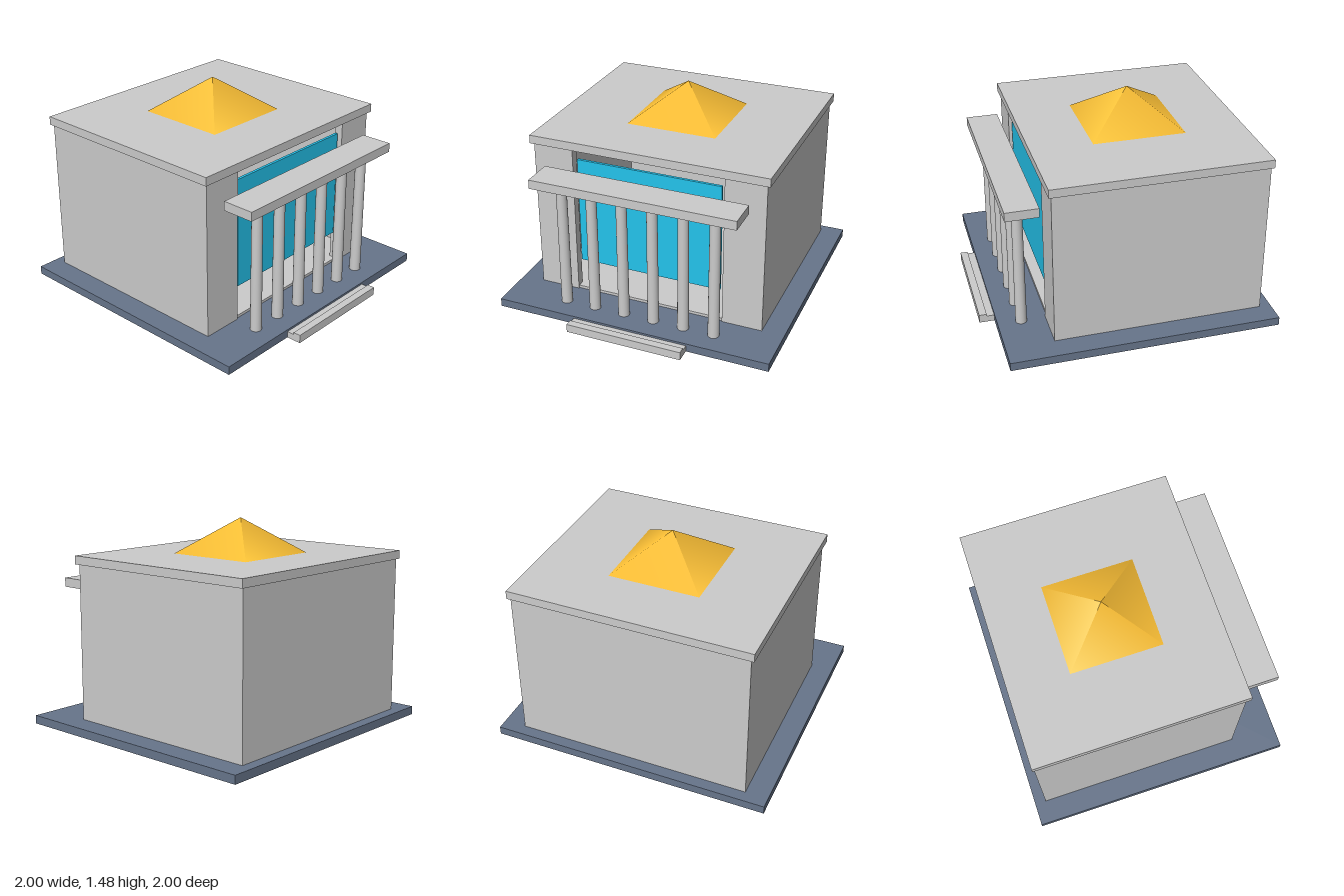
import * as THREE from 'three';

const material = (color) => new THREE.MeshStandardMaterial({ color });

export function createModel() {
  const model = new THREE.Group();
  model.name = 'columnedHall';

  const stone = material(0xcccccc);
  const slate = material(0x67758b);
  const white = material(0xfafafa);
  const glass = material(0x24c3ec);
  const gold = material(0xfbbf35);

  // Box given by its extents along each axis
  function box(name, mat, [x0, x1], [y0, y1], [z0, z1], parent = model) {
    const mesh = new THREE.Mesh(new THREE.BoxGeometry(x1 - x0, y1 - y0, z1 - z0), mat);
    mesh.position.set((x0 + x1) / 2, (y0 + y1) / 2, (z0 + z1) / 2);
    mesh.name = name;
    parent.add(mesh);
    return mesh;
  }

  // Ground slab and entrance steps
  box('baseSlab', slate, [-1, 1], [0, 0.06], [-1, 0.895]);
  box('innerStep', white, [-0.42, 0.42], [0, 0.045], [0.895, 0.947]);
  box('outerStep', white, [-0.42, 0.42], [0, 0.06], [0.947, 1]);

  // Hollow hall: a U-shaped plan with a wide front opening, extruded upwards
  const plan = new THREE.Shape([
    [-0.55, -0.56], [-0.84, -0.56], [-0.84, 0.92], [0.84, 0.92], [0.84, -0.56], [0.55, -0.56],
    [0.55, -0.5], [0.78, -0.5], [0.78, 0.86], [-0.78, 0.86], [-0.78, -0.5], [-0.55, -0.5],
  ].map(([x, y]) => new THREE.Vector2(x, y)));
  const wallGeometry = new THREE.ExtrudeGeometry(plan, { depth: 1.11, bevelEnabled: false });
  wallGeometry.rotateX(-Math.PI / 2);
  const walls = new THREE.Mesh(wallGeometry, stone);
  walls.position.y = 0.06;
  walls.name = 'hallWalls';
  model.add(walls);

  // Interior floor, front window and flat roof
  box('interiorFloor', white, [-0.78, 0.78], [0.06, 0.08], [-0.86, 0.5]);
  box('doorSill', white, [-0.55, 0.55], [0.06, 0.08], [0.5, 0.55]);
  box('frontWindow', glass, [-0.525, 0.525], [0.3, 1.09], [0.52, 0.54]);
  box('roofSlab', stone, [-0.863, 0.863], [1.17, 1.23], [-0.933, 0.58]);

  // Pyramid on the roof
  const pyramidGeometry = new THREE.ConeGeometry(0.327 * Math.SQRT2, 0.25, 4);
  pyramidGeometry.rotateY(Math.PI / 4);
  const pyramid = new THREE.Mesh(pyramidGeometry, gold);
  pyramid.position.set(0, 1.355, -0.178);
  pyramid.name = 'roofPyramid';
  model.add(pyramid);

  // Portico: six slightly tapered columns below a beam
  const portico = new THREE.Group();
  portico.name = 'portico';
  model.add(portico);
  const columnGeometry = new THREE.CylinderGeometry(0.037, 0.04, 0.895, 20);
  for (let i = 0; i < 6; i++) {
    const column = new THREE.Mesh(columnGeometry, stone);
    column.position.set((i - 2.5) * 0.2215, 0.5075, 0.73);
    column.name = 'column' + (i + 1);
    portico.add(column);
  }
  box('porticoBeam', stone, [-0.736, 0.736], [0.97, 1.035], [0.613, 0.842], portico);

  return model;
}
